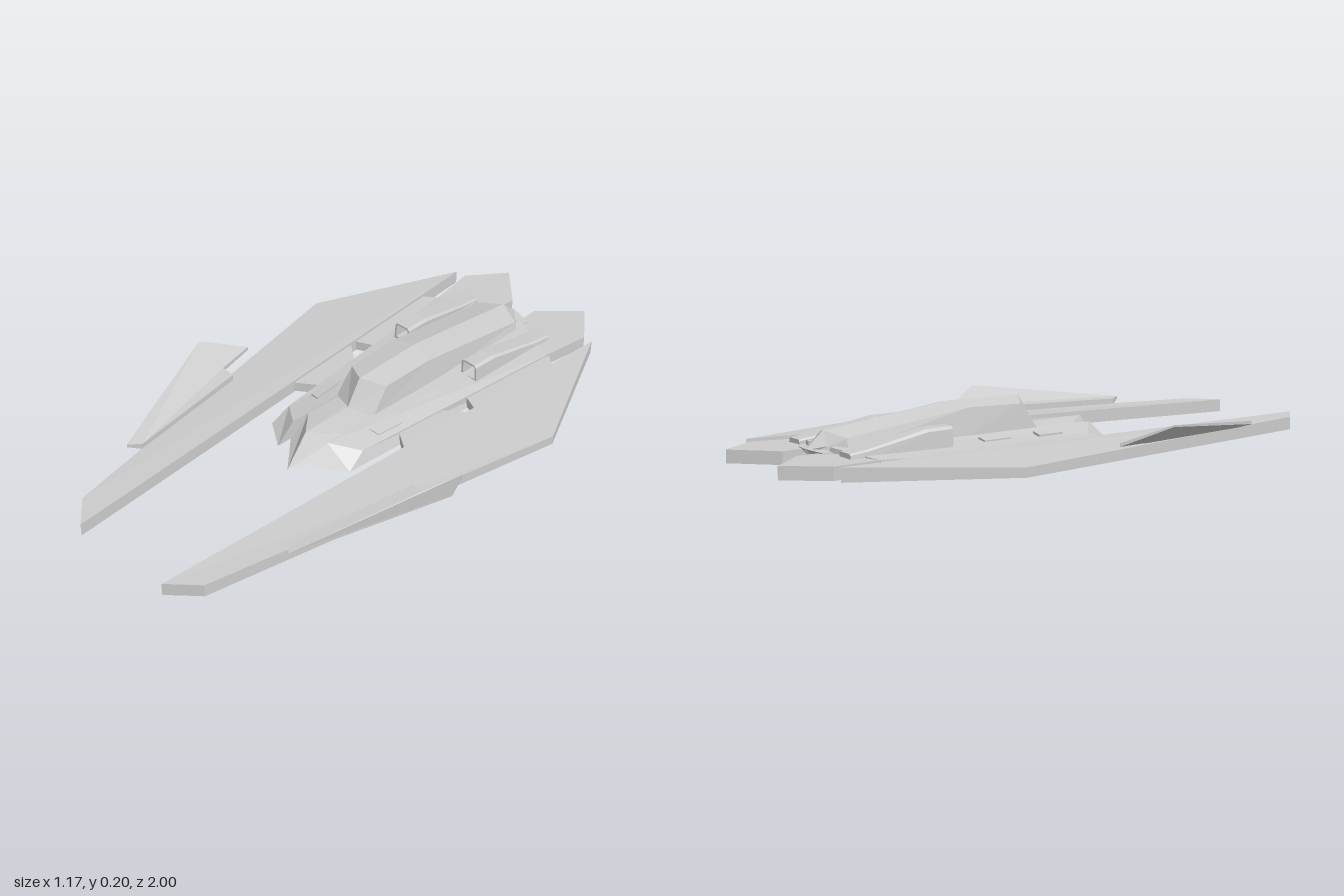
import * as THREE from 'three';

const material = new THREE.MeshStandardMaterial({ color: 0xcccccc, flatShading: true });

// Skin a list of rings (each counter-clockwise seen from the first ring's end) and cap both ends.
function skin(rings, caps) {
  const n = rings[0].length, pos = [];
  const tri = (a, b, c) => pos.push(...a, ...b, ...c);
  for (let i = 0; i + 1 < rings.length; i++) {
    for (let j = 0; j < n; j++) {
      const k = (j + 1) % n;
      tri(rings[i][j], rings[i + 1][j], rings[i + 1][k]);
      tri(rings[i][j], rings[i + 1][k], rings[i][k]);
    }
  }
  const first = rings[0], last = rings[rings.length - 1];
  for (const [a, b, c] of caps) {
    tri(first[a], first[b], first[c]);
    tri(last[a], last[c], last[b]);
  }
  const geometry = new THREE.BufferGeometry();
  geometry.setAttribute('position', new THREE.Float32BufferAttribute(pos, 3));
  geometry.computeVertexNormals();
  return geometry;
}

// Cross-sections running from front to back.
function loft(rings) {
  const caps = [];
  for (let j = 1; j + 1 < rings[0].length; j++) caps.push([0, j, j + 1]);
  return skin(rings, caps);
}

// Plate from plan points [x, z, topY, bottomY, topX, topZ]; the last two are optional.
function plate(points) {
  const flat = points.map(([x, z]) => new THREE.Vector2(x, -z));
  if (THREE.ShapeUtils.area(flat) < 0) {
    flat.reverse();
    points = [...points].reverse();
  }
  const top = points.map(([x, z, t, , tx = x, tz = z]) => [tx, t, tz]);
  const bottom = points.map(([x, z, , b]) => [x, b, z]);
  return skin([top, bottom], THREE.ShapeUtils.triangulateShape(flat, []));
}

// Full ring from its right half, listed bottom centre to top centre.
function symmetric(half) {
  const left = half.slice(1, -1).reverse().map(([x, y, z]) => [-x, y, z]);
  return [...half, ...left];
}

// Chamfered intake section.
function intakeRing(x0, x1, y0, y1, z, c) {
  return [[x0, y0, z], [x1 + c / 2, y0, z], [x1, y1 - c, z],
    [x1 - c, y1, z], [x0 + c, y1, z], [x0, y1 - c, z]];
}

export function createModel() {
  const model = new THREE.Group();
  const add = (name, geometry) => {
    const mesh = new THREE.Mesh(geometry, material);
    mesh.name = name;
    model.add(mesh);
  };

  // Central keel with a V-shaped nose
  add('keel', loft([
    symmetric([[0, 0.003, 0.305], [0.082, 0.035, 0.21], [0.08, 0.097, 0.13], [0, 0.11, 0.22]]),
    symmetric([[0, 0.003, -0.74], [0.082, 0.035, -0.8], [0.08, 0.085, -0.8], [0, 0.09, -0.82]]),
  ]));

  // Long canopy spine
  add('canopy', loft([
    symmetric([[0, 0.1, 0.03], [0.085, 0.095, -0.01], [0.08, 0.182, -0.075], [0, 0.198, -0.03]]),
    symmetric([[0, 0.08, -0.3], [0.095, 0.09, -0.3], [0.083, 0.184, -0.28], [0, 0.2, -0.3]]),
    symmetric([[0, 0.08, -0.72], [0.098, 0.085, -0.72], [0.088, 0.125, -0.72], [0, 0.142, -0.755]]),
    symmetric([[0, 0.07, -0.81], [0.055, 0.07, -0.775], [0.05, 0.1, -0.765], [0, 0.085, -0.82]]),
  ]));

  for (const s of [1, -1]) {
    const side = s > 0 ? 'left' : 'right';
    const addPlate = (name, pts) => add(side + name, plate(pts.map(
      ([x, z, t, b, tx = x, tz = z]) => [s * x, z, t, b, s * tx, tz])));

    // Hull deck, sloping outwards, with a raked front
    addPlate('Deck', [
      [0.08, 0.27, 0.1, 0.037, 0.08, 0.2], [0.182, 0.2, 0.079, 0.037, 0.172, 0.13],
      [0.255, -0.7, 0.079, 0.037], [0.07, -0.77, 0.1, 0.037]]);

    // Pointed tail plate
    addPlate('Tail', [
      [0.07, -0.7, 0.082, 0.037], [0.256, -0.7, 0.079, 0.037], [0.28, -0.87, 0.08, 0.037],
      [0.178, -1, 0.08, 0.037], [0.05, -0.87, 0.08, 0.037], [0.055, -0.76, 0.082, 0.037]]);

    // Struts joining the hull and the wing
    addPlate('RearStrut', [
      [0.22, -0.7, 0.074, 0.04], [0.265, -0.7, 0.074, 0.04], [0.31, -0.66, 0.074, 0.04],
      [0.29, -0.29, 0.074, 0.04], [0.2, -0.33, 0.074, 0.04]]);
    addPlate('FrontStrut', [
      [0.2, -0.21, 0.074, 0.04], [0.29, -0.28, 0.074, 0.04],
      [0.265, 0.03, 0.074, 0.04], [0.18, -0.03, 0.074, 0.04]]);

    // Main wing
    addPlate('Wing', [
      [0.19, 1, 0.081, 0.037], [0.285, 0.915, 0.081, 0.037],
      [0.553, -0.37, 0.068, 0.037], [0.317, -0.865, 0.083, 0.037]]);

    // Upswept winglet with a notch at its root
    addPlate('Winglet', [
      [0.345, 0.62, 0.096, 0.075], [0.415, 0.16, 0.096, 0.07], [0.465, 0.16, 0.1, 0.084],
      [0.497, 0.015, 0.098, 0.086], [0.583, 0.16, 0.153, 0.147], [0.375, 0.66, 0.099, 0.088]]);

    // Hollow intake tapering backwards
    const rings = [
      intakeRing(0.13, 0.18, 0.092, 0.14, -0.47, 0.004),
      intakeRing(0.13, 0.18, 0.092, 0.141, -0.4, 0.004),
      intakeRing(0.122, 0.187, 0.075, 0.148, -0.4, 0.009),
      intakeRing(0.124, 0.189, 0.075, 0.146, -0.49, 0.009),
      intakeRing(0.13, 0.198, 0.075, 0.105, -0.7, 0.006),
      intakeRing(0.132, 0.2, 0.075, 0.096, -0.77, 0.005),
    ].map(r => s > 0 ? r : r.map(([x, y, z]) => [-x, y, z]).reverse());
    add(side + 'Intake', loft(rings));

    // Small access panels lying on the deck
    for (const [z0, z1] of [[-0.27, -0.165], [-0.06, 0.04]]) {
      addPlate('Panel', [
        [0.12, z1 + 0.01, 0.0955, 0.08], [0.158, z1, 0.0885, 0.08],
        [0.168, z0, 0.0885, 0.08], [0.13, z0, 0.0955, 0.08]]);
    }
  }
  return model;
}
